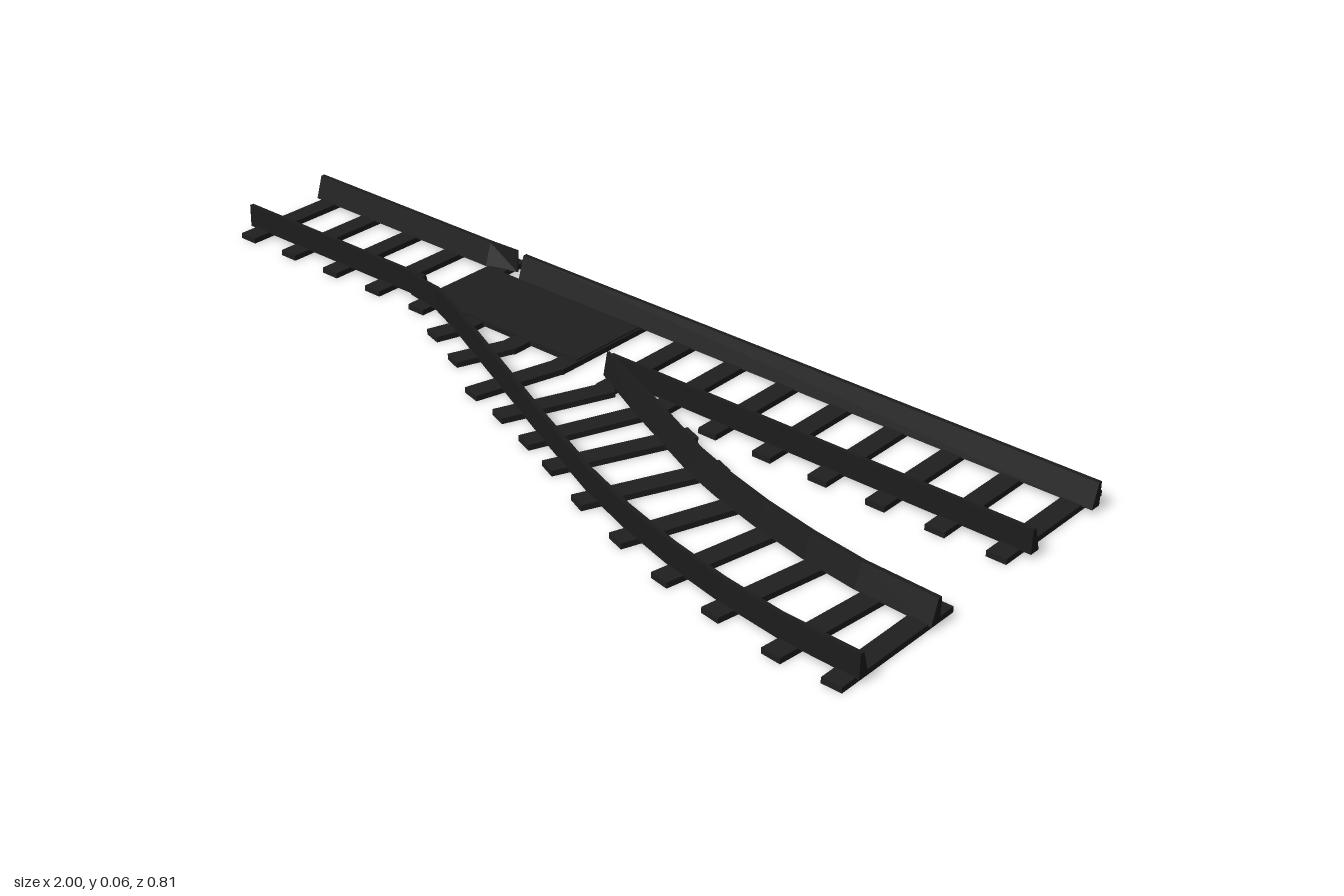
import * as THREE from 'three';

const tieMat = new THREE.MeshStandardMaterial({ color: 0x1f1f1f });
tieMat.name = 'dark tie';
const railMat = new THREE.MeshStandardMaterial({ color: 0x1c1c1c });
railMat.name = 'black rail';

const TIE_H = 0.012, TIE_W = 0.042;

// Flat bar lying on the ground between two [x, z] points
function tie(name, [x0, z0], [x1, z1]) {
  const length = Math.hypot(x1 - x0, z1 - z0);
  const mesh = new THREE.Mesh(new THREE.BoxGeometry(TIE_W, TIE_H, length), tieMat);
  mesh.position.set((x0 + x1) / 2, TIE_H / 2, (z0 + z1) / 2);
  mesh.rotation.y = Math.atan2(x1 - x0, z1 - z0);
  mesh.name = name;
  return mesh;
}

// Rail profile swept along [x, z, widthScale] points running towards +x.
// side = 1 puts the upright outer face on +z, side = -1 on -z.
function rail(name, path, side) {
  const profile = [[0.012, 0.01], [0.012, 0.06], [0.003, 0.06], [-0.012, 0.01]];
  const rings = path.map(([x, z, scale = 1], i) => {
    const a = path[Math.max(i - 1, 0)], b = path[Math.min(i + 1, path.length - 1)];
    const dx = b[0] - a[0], dz = b[1] - a[1], l = Math.hypot(dx, dz);
    return profile.map(([o, y]) => {
      const off = (0.012 - (0.012 - o) * scale) * side; // taper towards the outer face
      return [x - dz / l * off, y, z + dx / l * off];
    });
  });
  const pos = [];
  const quad = (a, b, c, d) => {
    const q = side > 0 ? [a, b, c, a, c, d] : [a, c, b, a, d, c];
    q.forEach((p) => pos.push(...p));
  };
  for (let i = 0; i < rings.length - 1; i++) {
    for (let k = 0; k < 4; k++) {
      const n = (k + 1) % 4;
      quad(rings[i][k], rings[i + 1][k], rings[i + 1][n], rings[i][n]);
    }
  }
  quad(...rings[0]);
  quad(...rings[rings.length - 1].slice().reverse());
  const geo = new THREE.BufferGeometry();
  geo.setAttribute('position', new THREE.Float32BufferAttribute(pos, 3));
  geo.computeVertexNormals();
  const mesh = new THREE.Mesh(geo, railMat);
  mesh.name = name;
  return mesh;
}

export function createModel() {
  const group = new THREE.Group();
  group.name = 'railwaySwitch';

  // Ties of the straight track
  for (let i = 0; i < 16; i++) {
    const x = -0.963 + i * 0.128;
    group.add(tie('straightTie', [x, -0.405], [x, -0.095]));
  }

  // Bent tie ends that carry the start of the branch
  [[-0.323, -0.345, 0.03], [-0.195, -0.235, 0.015], [-0.067, -0.118, 0.088]].forEach(([x, xe, ze], i) => {
    const end = [[-0.345, 0.035], [-0.24, 0.015], [-0.118, 0.09]][i];
    if (i === 0) end[1] = -0.035;
    group.add(tie('bentTie', [x, -0.105], end));
  });

  // Ties of the branch track: near end and far end
  [
    [0.07, -0.105, -0.02, 0.12], [0.18, -0.085, 0.085, 0.16],
    [0.30, -0.075, 0.18, 0.20], [0.42, -0.02, 0.30, 0.255],
    [0.53, 0.03, 0.435, 0.305], [0.63, 0.05, 0.572, 0.35],
    [0.755, 0.07, 0.703, 0.375], [0.88, 0.088, 0.85, 0.40],
    [0.972, 0.088, 0.972, 0.40],
  ].forEach(([x0, z0, x1, z1]) => group.add(tie('branchTie', [x0, z0], [x1, z1])));

  // Cover plate over the switch mechanism
  const plate = new THREE.Mesh(new THREE.BoxGeometry(0.42, 0.012, 0.19), tieMat);
  plate.position.set(-0.26, 0.009, -0.235);
  plate.name = 'switchPlate';
  group.add(plate);

  // Straight rails, the first ending in a thin point blade
  group.add(rail('backRailWest', [[-1, -0.347], [-0.48, -0.347], [-0.41, -0.35, 0.15]], -1));
  group.add(rail('backRailEast', [[-0.385, -0.347], [1, -0.347]], -1));
  group.add(rail('frontRailWest', [[-1, -0.149], [-0.47, -0.149]], 1));
  group.add(rail('frontRailEast', [[0.04, -0.149], [1, -0.149]], 1));

  // Curved branch rails
  group.add(rail('branchOuterRail', [
    [-0.5, -0.145, 0.3], [-0.41, -0.128], [-0.32, -0.09], [-0.1, 0.017], [0.107, 0.118],
    [0.3, 0.208], [0.43, 0.257], [0.567, 0.298], [0.7, 0.327], [0.834, 0.346], [1, 0.352],
  ], 1));
  group.add(rail('branchInnerRail', [
    [0.025, -0.135, 0.5], [0.18, -0.068], [0.396, 0.035], [0.48, 0.065],
    [0.6, 0.1], [0.72, 0.126], [0.84, 0.144], [1, 0.151],
  ], -1));

  return group;
}
